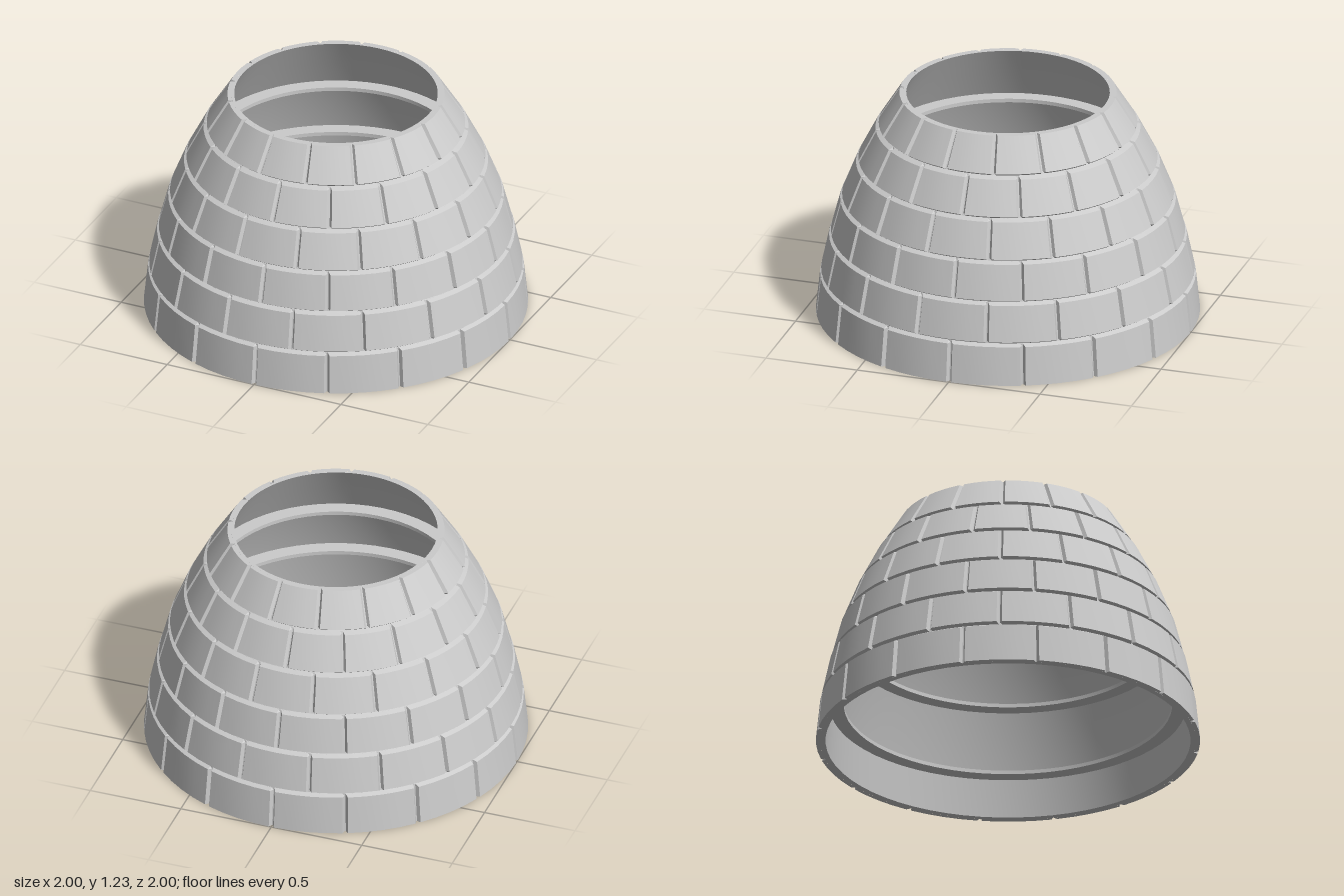
import * as THREE from 'three';
import { toCreasedNormals, mergeGeometries } from 'three/addons/utils/BufferGeometryUtils.js';

// Each course of blocks: bottom height, bottom radius, top height, top radius
const COURSES = [
  [0, 1.0, 0.22, 0.977],
  [0.222, 0.975, 0.435, 0.929],
  [0.437, 0.925, 0.643, 0.871],
  [0.645, 0.868, 0.848, 0.787],
  [0.85, 0.784, 1.045, 0.684],
  [1.047, 0.68, 1.23, 0.565],
];
// Inner face: height, radius, whether a ledge sits there
const INNER = [
  [0, 0.95, false],
  [0.215, 0.93, true],
  [0.385, 0.893, false],
  [0.56, 0.847, true],
  [0.73, 0.788, false],
  [0.9, 0.713, true],
  [1.06, 0.63, false],
  [1.23, 0.53, false],
];
const BLOCKS = 16;
const DEPTH = 0.02;   // depth of the mortar grooves
const BEVEL = 0.011;  // width of the sloping block edges
const GAP = 0.003;    // half width of the groove floor
const STEPS = 4;      // segments around one block

// One curved block with bevelled edges, as a grid of angle by height
function blockGeometry(course, angle, isFirst, isLast) {
  const [y0, r0, y1, r1] = course;
  const mid = (r0 + r1) / 2;
  const half = Math.PI / BLOCKS - GAP / mid;
  const face = half - BEVEL / mid;
  const angles = [-half];
  for (let i = 0; i <= STEPS; i++) angles.push(face * (2 * i / STEPS - 1));
  angles.push(half);
  const heights = [y0, y0 + (isFirst ? 0 : BEVEL), y1 - (isLast ? 0 : BEVEL), y1];

  const positions = [], index = [];
  angles.forEach((a, i) => heights.forEach((y, j) => {
    const edge = i === 0 || i === angles.length - 1 || j === 0 || j === heights.length - 1;
    const r = r0 + (r1 - r0) * (y - y0) / (y1 - y0) - (edge ? DEPTH : 0);
    positions.push(r * Math.sin(angle + a), y, r * Math.cos(angle + a));
  }));
  const n = heights.length;
  for (let i = 0; i < angles.length - 1; i++) {
    for (let j = 0; j < n - 1; j++) {
      const p = i * n + j;
      index.push(p, p + n, p + 1, p + n, p + n + 1, p + 1);
    }
  }
  const g = new THREE.BufferGeometry();
  g.setAttribute('position', new THREE.Float32BufferAttribute(positions, 3));
  g.setIndex(index);
  return toCreasedNormals(g, 0.4);
}

// Closed wall behind the blocks: groove floor outside, ledges inside
function wallGeometry() {
  const outer = [], inner = [];
  for (const [y0, r0, y1, r1] of COURSES) outer.push([r0 - DEPTH, y0], [r1 - DEPTH, y1]);
  for (const [y, r, ledge] of INNER) {
    if (ledge) inner.push([r, y - 0.01], [r - 0.075, y - 0.01], [r - 0.075, y + 0.01], [r, y + 0.01]);
    else inner.push([r, y]);
  }
  const loop = [...outer, ...inner.reverse(), outer[0]];
  const g = new THREE.LatheGeometry(loop.map(([r, y]) => new THREE.Vector2(r, y)), 64);
  return toCreasedNormals(g, 0.4);
}

export function createModel() {
  const model = new THREE.Group();
  model.name = 'brickDome';
  const material = new THREE.MeshStandardMaterial({ color: 0xcccccc });

  const wall = new THREE.Mesh(wallGeometry(), material);
  wall.name = 'innerWall';
  model.add(wall);

  // Staggered rings of blocks
  COURSES.forEach((course, i) => {
    const blocks = [];
    for (let k = 0; k < BLOCKS; k++) {
      const angle = (k + (i % 2 ? 0 : 0.5)) * 2 * Math.PI / BLOCKS;
      blocks.push(blockGeometry(course, angle, i === 0, i === COURSES.length - 1));
    }
    const ring = new THREE.Mesh(mergeGeometries(blocks), material);
    ring.name = `blockCourse${i + 1}`;
    model.add(ring);
  });
  return model;
}
